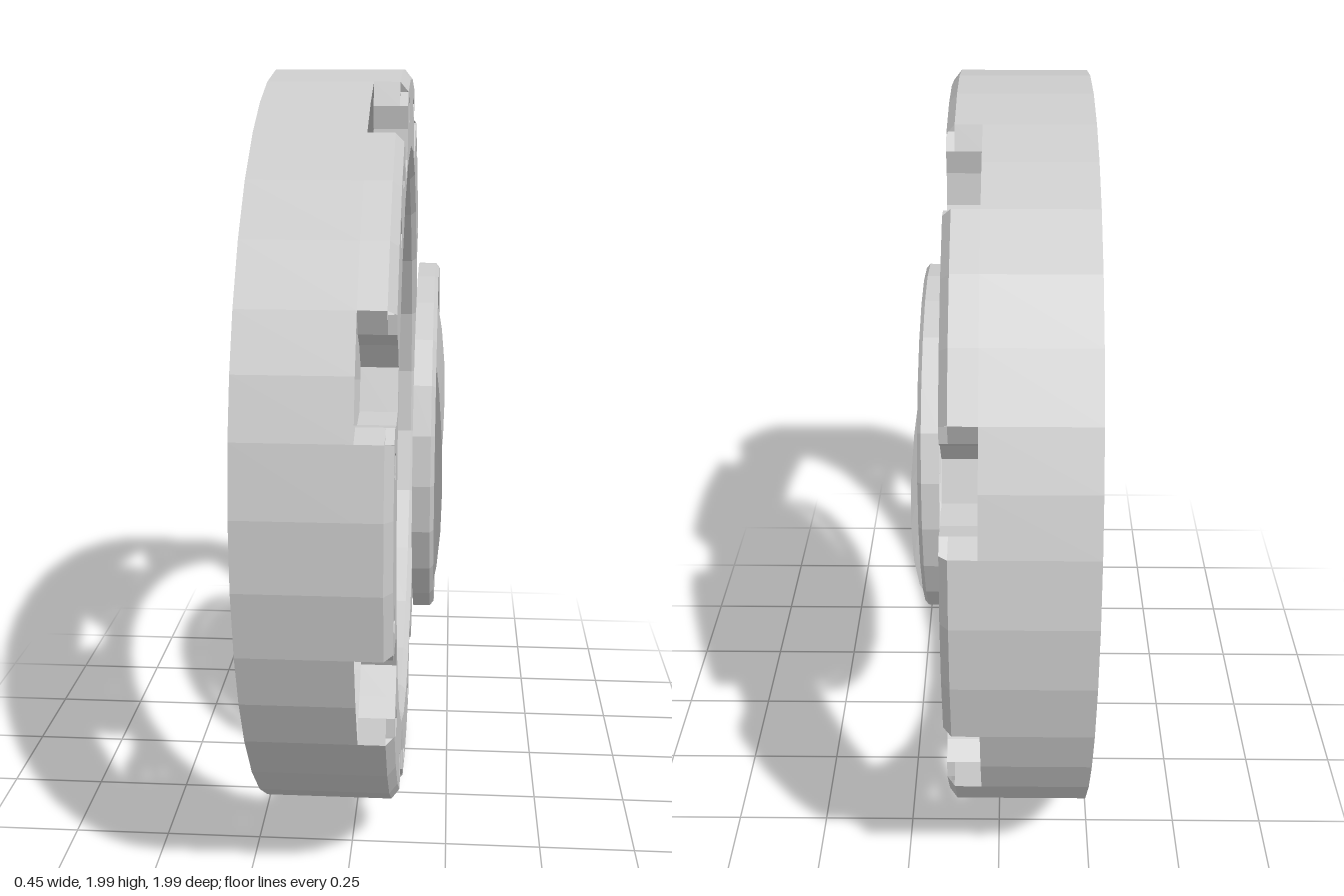
import * as THREE from 'three';

const RAD = Math.PI / 180;
const material = new THREE.MeshStandardMaterial({
  color: 0xcccccc, flatShading: true, side: THREE.DoubleSide,
});
const polar = (deg, r) => new THREE.Vector2(Math.sin(deg * RAD) * r, Math.cos(deg * RAD) * r);

function arc(from, to, r, steps) {
  return Array.from({ length: steps + 1 }, (_, i) => polar(from + (to - from) * i / steps, r));
}

// Strip joining a polyline at depth z0 to the same line, scaled, at depth z1
function ribbon(points, z0, z1, scale = 1) {
  const pos = [];
  const index = [];
  points.forEach((p, i) => {
    pos.push(p.x, p.y, z0, p.x * scale, p.y * scale, z1);
    if (i > 0) {
      const a = 2 * (i - 1);
      index.push(a, a + 1, a + 2, a + 2, a + 1, a + 3);
    }
  });
  const geometry = new THREE.BufferGeometry();
  geometry.setAttribute('position', new THREE.Float32BufferAttribute(pos, 3));
  geometry.setIndex(index);
  geometry.computeVertexNormals();
  return geometry;
}

function add(parent, name, geometry) {
  const mesh = new THREE.Mesh(geometry, material);
  mesh.name = name;
  parent.add(mesh);
  return mesh;
}

export function createModel() {
  const model = new THREE.Group();
  model.name = 'wheelCover';
  // Parts are built around the local z axis, then turned to face +x
  const body = new THREE.Group();
  body.name = 'body';
  body.rotation.y = Math.PI / 2;
  body.position.y = 1;
  model.add(body);

  const BACK = -0.225, STEP = 0.04, EDGE = 0.105, FACE = 0.125;
  const FACE_R = 0.975, HALF = 8.2;

  // Half of the flared notch as (sideways, radius) pairs, outside to inside
  const half = [[0.1, 0.945], [0.088, 0.89], [0.05, 0.825]];
  const notchProfile = [...half.map(([t, r]) => [-t, r]), ...half.slice().reverse()];

  // Rim wall, notches and the outline of the face
  const outline = [];
  const rim = [];
  for (let k = 0; k < 8; k++) {
    const mid = 22.5 + 45 * k;
    const side = polar(mid + 90, 1);
    const up = polar(mid, 1);
    const notch = [
      polar(mid - HALF, FACE_R),
      ...notchProfile.map(([t, r]) => side.clone().multiplyScalar(t).addScaledVector(up, r)),
      polar(mid + HALF, FACE_R),
    ];
    const wallLine = [polar(mid - HALF, 1), ...notch.slice(1, -1), polar(mid + HALF, 1)];
    add(body, 'notchWall', ribbon(wallLine, STEP, EDGE));
    add(body, 'notchWallEdge', ribbon(notch, EDGE, FACE));

    const from = mid + HALF, to = mid + 45 - HALF;
    const outer = arc(from, to, 1, 3);
    add(body, 'rimSegment', ribbon(outer, STEP, EDGE));
    add(body, 'rimBevel', ribbon(outer, EDGE, FACE, FACE_R));
    rim.push(...arc(mid - HALF, mid + HALF, 1, 2).slice(0, -1), ...outer.slice(0, -1));
    outline.push(...notch.slice(0, -1), ...arc(from, to, FACE_R, 3).slice(0, -1));
  }
  rim.push(rim[0]);
  add(body, 'rimWall', ribbon(rim, BACK, STEP));

  // Face ring with its central opening and small five-sided holes
  const face = new THREE.Shape(outline);
  const opening = arc(0, 360, 0.8, 24);
  face.holes.push(new THREE.Path(opening.slice(0, -1)));
  for (let i = 0; i < 16; i++) {
    let deg = 11.25 + 22.5 * i;
    if (i === 6) deg = 135;
    if (i === 13) deg = 315;
    const centre = polar(deg, 0.915);
    const hole = arc(deg, deg + 360, 0.037, 5).map((p) => p.add(centre));
    face.holes.push(new THREE.Path(hole.slice(0, -1)));
    add(body, 'smallHoleWall', ribbon(hole, FACE - 0.025, FACE));
  }
  add(body, 'faceRing', new THREE.ShapeGeometry(face)).position.z = FACE;

  // Bevelled lip around the central opening
  add(body, 'innerBevel', ribbon(opening, FACE, 0.11, 0.98));
  add(body, 'innerLip', ribbon(arc(0, 360, 0.784, 24), 0.11, STEP));

  // Centre cap: a thin band around a plate whose two sides turn outward
  const capEdge = arc(0, 360, 0.485, 24);
  add(body, 'capBand', ribbon(capEdge, 0.15, 0.195));
  add(body, 'capBevel', ribbon(capEdge, 0.195, 0.205, 0.975));
  const plate = new THREE.CircleGeometry(0.463, 24);
  const pos = plate.attributes.position;
  for (let i = 1; i < pos.count; i++) {
    pos.setZ(i, 0.025 * Math.max(0, (Math.abs(pos.getX(i)) - 0.33) / 0.133));
  }
  plate.computeVertexNormals();
  add(body, 'capPlate', plate).position.set(-0.008, -0.008, 0.2);

  return model;
}
